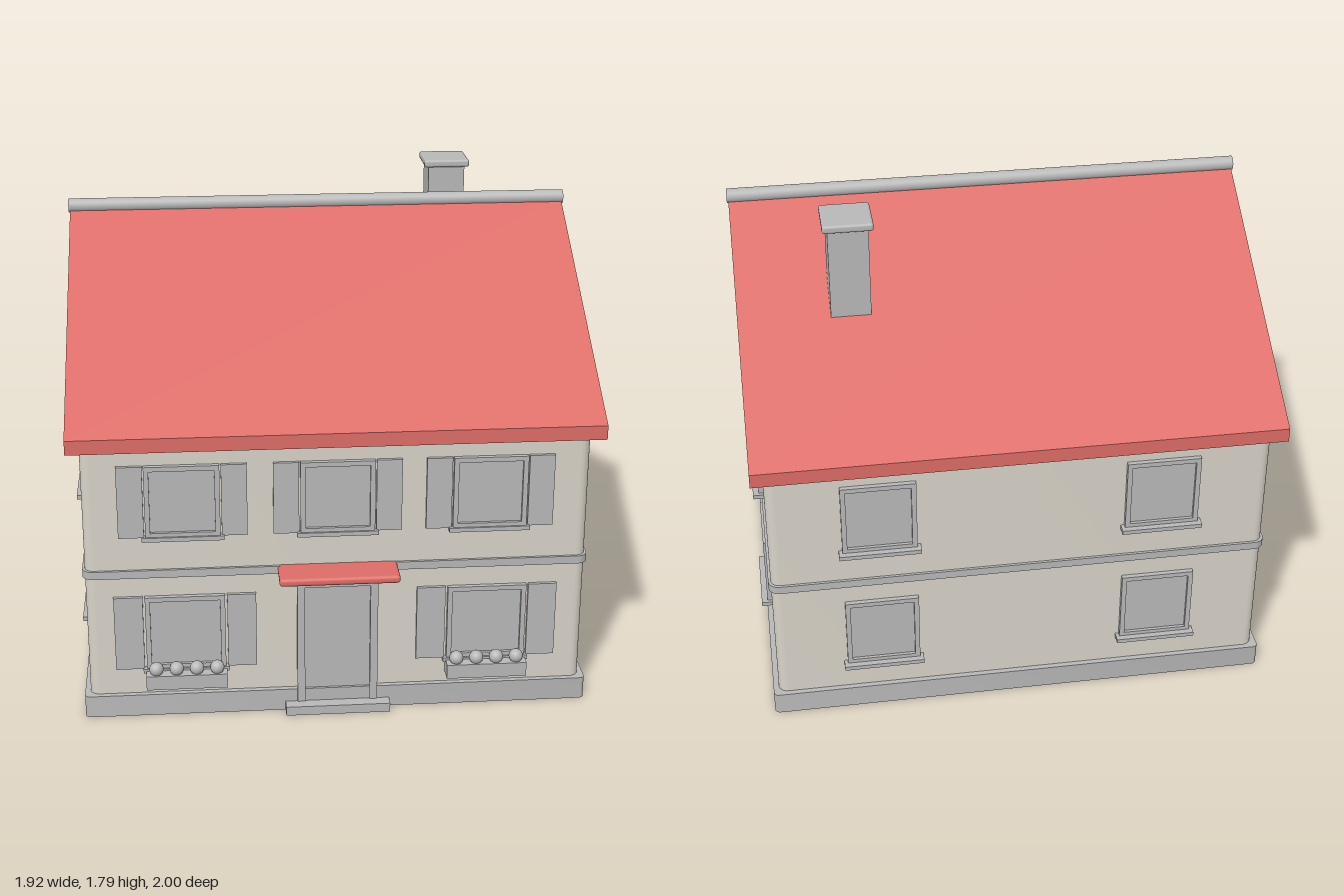
import * as THREE from 'three';
import { toCreasedNormals } from 'three/addons/utils/BufferGeometryUtils.js';
import { RoundedBoxGeometry } from 'three/addons/geometries/RoundedBoxGeometry.js';

const ZC = -0.04;        // centre of the house body along z
const HX = 0.912, HZ = 0.913; // half width and half depth of the walls

const material = (name, color) => {
  const m = new THREE.MeshStandardMaterial({ color });
  m.name = name;
  return m;
};
const wall = material('wall plaster', 0xd8d3c8);
const grey = material('grey trim', 0xb8b8b8);
const red = material('roof red', 0xdd6c67);

function add(parent, name, geometry, mat, x = 0, y = 0, z = 0) {
  const mesh = new THREE.Mesh(geometry, mat);
  mesh.name = name;
  mesh.position.set(x, y, z);
  parent.add(mesh);
  return mesh;
}

// Box given by its limits
function addBox(parent, name, mat, x0, x1, y0, y1, z0, z1) {
  return add(parent, name, new THREE.BoxGeometry(x1 - x0, y1 - y0, z1 - z0), mat,
    (x0 + x1) / 2, (y0 + y1) / 2, (z0 + z1) / 2);
}

// Upright slab with rounded vertical corners
function roundedSlab(hx, hz, height, r) {
  const s = new THREE.Shape();
  s.moveTo(-hx + r, -hz);
  s.lineTo(hx - r, -hz);
  s.absarc(hx - r, -hz + r, r, -Math.PI / 2, 0);
  s.absarc(hx - r, hz - r, r, 0, Math.PI / 2);
  s.absarc(-hx + r, hz - r, r, Math.PI / 2, Math.PI);
  s.absarc(-hx + r, -hz + r, r, Math.PI, Math.PI * 1.5);
  const g = new THREE.ExtrudeGeometry(s, { depth: height, bevelEnabled: false, curveSegments: 6 });
  g.rotateX(-Math.PI / 2);
  return toCreasedNormals(g, 0.6);
}

// Profile in (z, y) swept along x, centred on x = 0
function sweepX(points, length) {
  const s = new THREE.Shape(points.map(([u, v]) => new THREE.Vector2(u, v)));
  const g = new THREE.ExtrudeGeometry(s, { depth: length, bevelEnabled: false });
  g.translate(0, 0, -length / 2);
  return g.rotateY(Math.PI / 2);
}

// Rectangular frame with an opening, standing on y = 0 and facing +z
function frameGeometry(w, h, bar, depth) {
  const rect = (c, x, y0, y1) => c.moveTo(-x, y0).lineTo(x, y0).lineTo(x, y1).lineTo(-x, y1).closePath();
  const s = rect(new THREE.Shape(), w / 2, 0, h);
  s.holes.push(rect(new THREE.Path(), w / 2 - bar, bar, h - bar));
  return new THREE.ExtrudeGeometry(s, { depth, bevelEnabled: false });
}

// Window on a wall plane, facing +z before the group is turned
function makeWindow({ w = 0.27, h = 0.28, sill = 0.04, shutter = 0, shutterGap = 0.005 }) {
  const g = new THREE.Group();
  g.name = 'window';
  add(g, 'windowFrame', frameGeometry(w, h, 0.018, 0.018), grey);
  addBox(g, 'windowPane', grey, -w / 2 + 0.01, w / 2 - 0.01, 0.01, h - 0.01, -0.01, 0.006);
  addBox(g, 'windowSill', grey, -w / 2 - 0.013, w / 2 + 0.013, -0.013, 0.003, -0.01, sill);
  if (shutter) {
    for (const side of [-1, 1]) {
      const x = side * (w / 2 + shutterGap + shutter / 2);
      addBox(g, 'shutter', grey, x - shutter / 2, x + shutter / 2, 0, h, -0.005, 0.013);
    }
  }
  return g;
}

export function createModel() {
  const house = new THREE.Group();
  house.name = 'house';
  const front = ZC + HZ, back = ZC - HZ;

  // Base, walls, floor band and gables
  add(house, 'base', roundedSlab(0.932, 0.933, 0.085, 0.02), grey, 0, 0, ZC);
  add(house, 'walls', roundedSlab(HX, HZ, 1.025, 0.035), wall, 0, 0.08, ZC);
  add(house, 'floorBand', roundedSlab(0.921, 0.923, 0.03, 0.04), grey, 0, 0.556, ZC);
  add(house, 'gable', sweepX([[-0.908, 1.1], [0.908, 1.1], [0, 1.665]], 2 * HX), wall, 0, 0, ZC);

  // Roof and ridge
  const e = 0.957;
  add(house, 'roof', sweepX([[-e, 1.055], [0, 1.648], [e, 1.055], [e, 1.108], [0, 1.702], [-e, 1.108]], 1.914),
    red, 0, 0, ZC);
  const ridge = new THREE.CylinderGeometry(0.027, 0.027, 1.925, 24).rotateZ(Math.PI / 2);
  add(house, 'ridge', ridge, grey, 0, 1.705, ZC);

  // Chimney
  addBox(house, 'chimney', grey, 0.477, 0.623, 1.35, 1.765, -0.498, -0.352);
  add(house, 'chimneyCap', new RoundedBoxGeometry(0.182, 0.03, 0.182, 3, 0.01), grey, 0.55, 1.775, -0.425);

  // Round gable windows
  for (const side of [-1, 1]) {
    const disc = new THREE.CylinderGeometry(0.095, 0.095, 0.03, 40).rotateZ(Math.PI / 2);
    add(house, 'gableWindow', disc, grey, side * (HX + 0.01), 1.325, ZC);
  }

  // Side and back windows on both floors
  for (const y of [0.203, 0.715]) {
    for (const side of [-1, 1]) {
      for (const dz of [-0.383, 0.383]) {
        const w = makeWindow({});
        w.position.set(side * HX, y, ZC + dz);
        w.rotation.y = side * Math.PI / 2;
        house.add(w);
      }
      const w = makeWindow({});
      w.position.set(side * 0.515, y, back);
      w.rotation.y = Math.PI;
      house.add(w);
    }
  }

  // Upper front windows with shutters
  for (const x of [-0.555, 0, 0.55]) {
    const w = makeWindow({ w: 0.268, h: 0.273, sill: 0.025, shutter: 0.092 });
    w.position.set(x, 0.717, front);
    house.add(w);
  }

  // Lower front windows with shutters and flower boxes
  for (const x of [-0.555, 0.55]) {
    const w = makeWindow({ w: 0.29, h: 0.29, sill: 0.025, shutter: 0.105, shutterGap: 0.008 });
    w.position.set(x, 0.19, front);
    house.add(w);
    addBox(house, 'flowerBox', grey, x - 0.148, x + 0.148, 0.13, 0.185, front - 0.01, 0.94);
    for (let i = 0; i < 4; i++) {
      add(house, 'flower', new THREE.SphereGeometry(0.026, 20, 14), grey, x + (i - 1.5) * 0.074, 0.203, 0.915);
    }
  }

  // Door, step and canopy
  add(house, 'doorFrame', frameGeometry(0.296, 0.53, 0.028, 0.03), grey, 0, 0, front - 0.005);
  addBox(house, 'door', grey, -0.122, 0.122, 0.08, 0.505, front - 0.01, front + 0.01);
  addBox(house, 'doorStep', grey, -0.193, 0.193, 0, 0.035, 0.85, 0.938);
  add(house, 'doorCanopy', new RoundedBoxGeometry(0.434, 0.03, 0.14, 3, 0.012), red, 0, 0.572, 0.93);

  return house;
}
